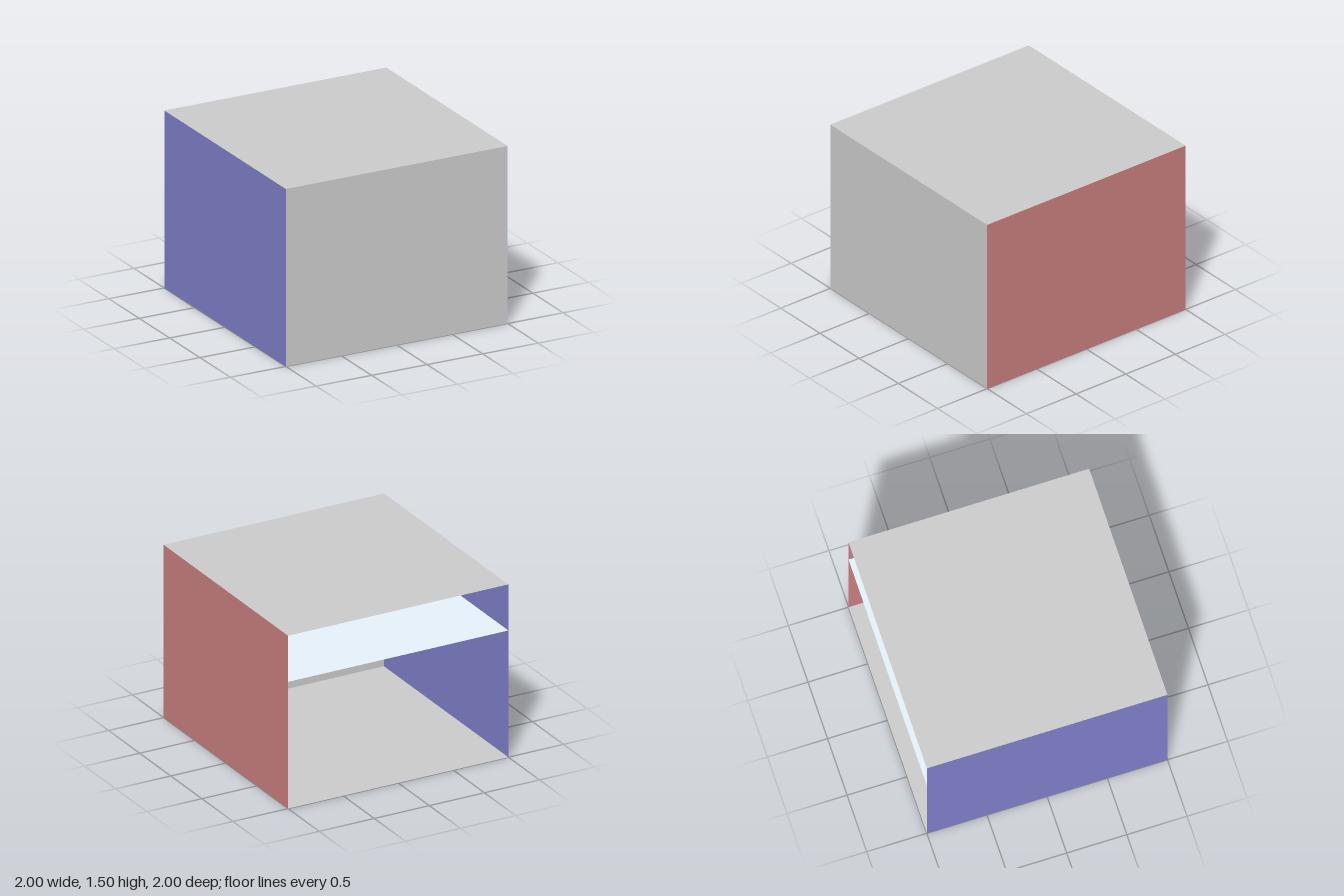
import * as THREE from 'three';

const W = 2, H = 1.5, D = 2;   // overall width, height, depth
const SHELF = 1.1;             // shelf height

export function createModel() {
  const model = new THREE.Group();
  model.name = 'openBackCabinet';

  const paint = (color) => new THREE.MeshStandardMaterial({ color, side: THREE.DoubleSide });
  const grey = paint(0xcccccc);
  const red = paint(0xcc8080);
  const blue = paint(0x8080cc);
  const paleBlue = paint(0xe6f2fb);

  // A thin sheet, facing +z until rotated
  function panel(name, w, h, material, [x, y, z], rx = 0, ry = 0) {
    const mesh = new THREE.Mesh(new THREE.PlaneGeometry(w, h), material);
    mesh.name = name;
    mesh.position.set(x, y, z);
    mesh.rotation.set(rx, ry, 0);
    model.add(mesh);
  }

  // Horizontal sheets
  panel('floor', W, D, grey, [0, 0, 0], -Math.PI / 2);
  panel('shelf', W, D, paleBlue, [0, SHELF, 0], -Math.PI / 2);
  panel('top', W, D, grey, [0, H, 0], -Math.PI / 2);

  // Side walls
  panel('leftWall', D, H, red, [W / 2, H / 2, 0], 0, Math.PI / 2);
  panel('rightWall', D, H, blue, [-W / 2, H / 2, 0], 0, -Math.PI / 2);

  // Front, split at the shelf; the back stays open
  panel('lowerFront', W, SHELF, grey, [0, SHELF / 2, D / 2]);
  panel('upperFront', W, H - SHELF, grey, [0, (SHELF + H) / 2, D / 2]);

  return model;
}
